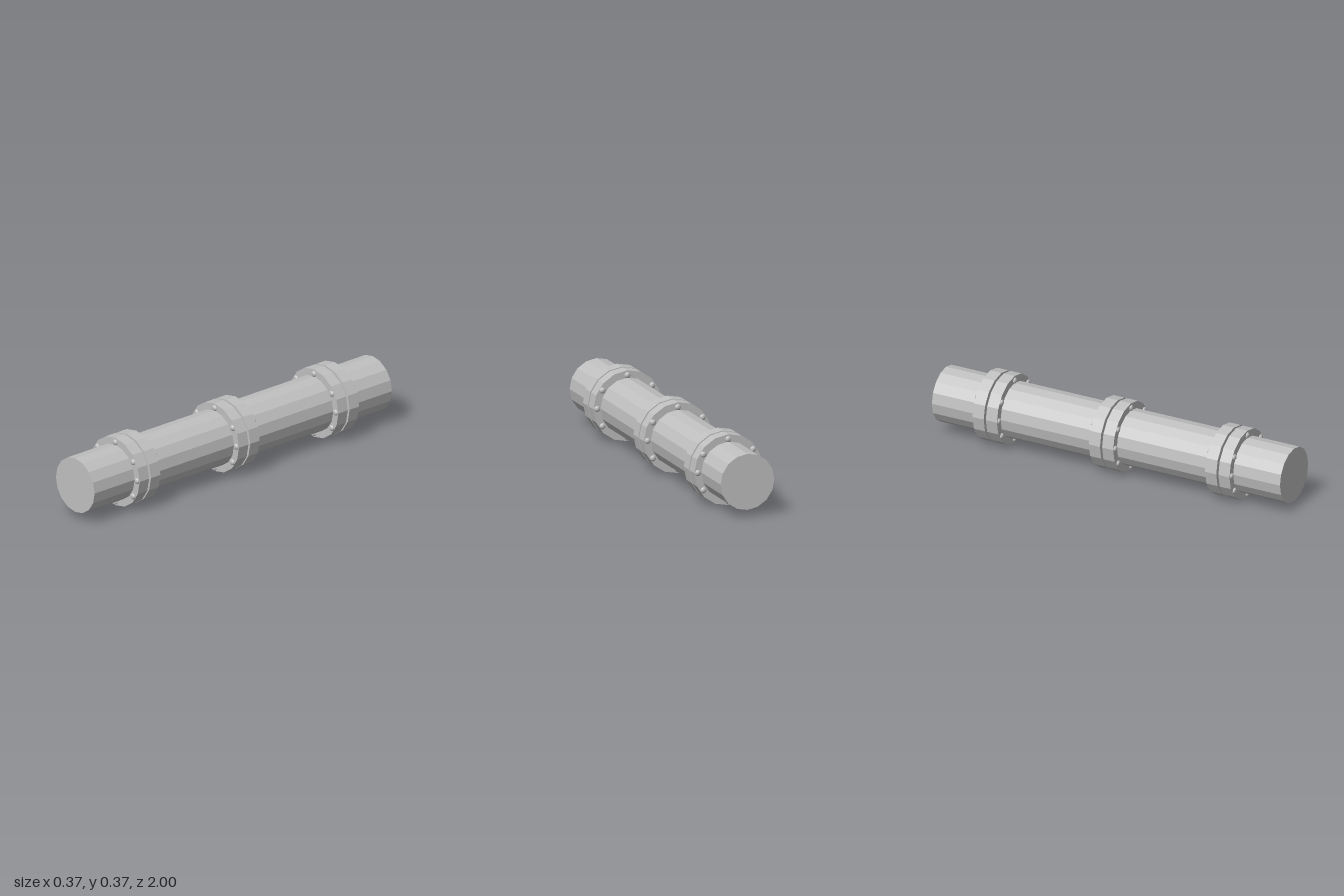
import * as THREE from 'three';

const AXIS_Y = 0.187;

// Sixteen-sided faceted cylinder lying along z
function facetedCylinder(radius, length) {
  const g = new THREE.CylinderGeometry(radius, radius, length, 16).rotateX(Math.PI / 2).toNonIndexed();
  g.computeVertexNormals();
  return g;
}

export function createModel() {
  const steel = new THREE.MeshStandardMaterial({ color: 0xc0c0c0 });
  steel.name = 'steel grey';
  const model = new THREE.Group();
  model.name = 'flangedPipe';

  function add(parent, name, geometry, x, y, z) {
    const mesh = new THREE.Mesh(geometry, steel);
    mesh.name = name;
    mesh.position.set(x, y, z);
    parent.add(mesh);
    return mesh;
  }

  // Main pipe
  add(model, 'pipe', facetedCylinder(0.146, 2), 0, AXIS_Y, 0);

  // Bolt positions around the flange
  const bolts = [[0, 0.159], [0, -0.164], [0.164, 0], [-0.164, 0]];
  for (const sx of [-1, 1]) for (const sy of [-1, 1]) bolts.push([sx * 0.135, sy * 0.093]);

  const flangeGeometry = facetedCylinder(0.184, 0.064);
  const boltGeometry = new THREE.SphereGeometry(0.016, 16, 10).scale(1, 1, 0.65);

  // Three joints, each a pair of flanges with domed bolt heads on the outer faces
  for (const z of [0.661, -0.007, -0.675]) {
    const joint = new THREE.Group();
    joint.name = 'flangeJoint';
    joint.position.set(0, AXIS_Y, z);
    model.add(joint);
    for (const side of [-1, 1]) {
      add(joint, 'flange', flangeGeometry, 0, 0, side * 0.038);
      for (const [x, y] of bolts) add(joint, 'boltHead', boltGeometry, x, y, side * 0.07);
    }
  }
  return model;
}
